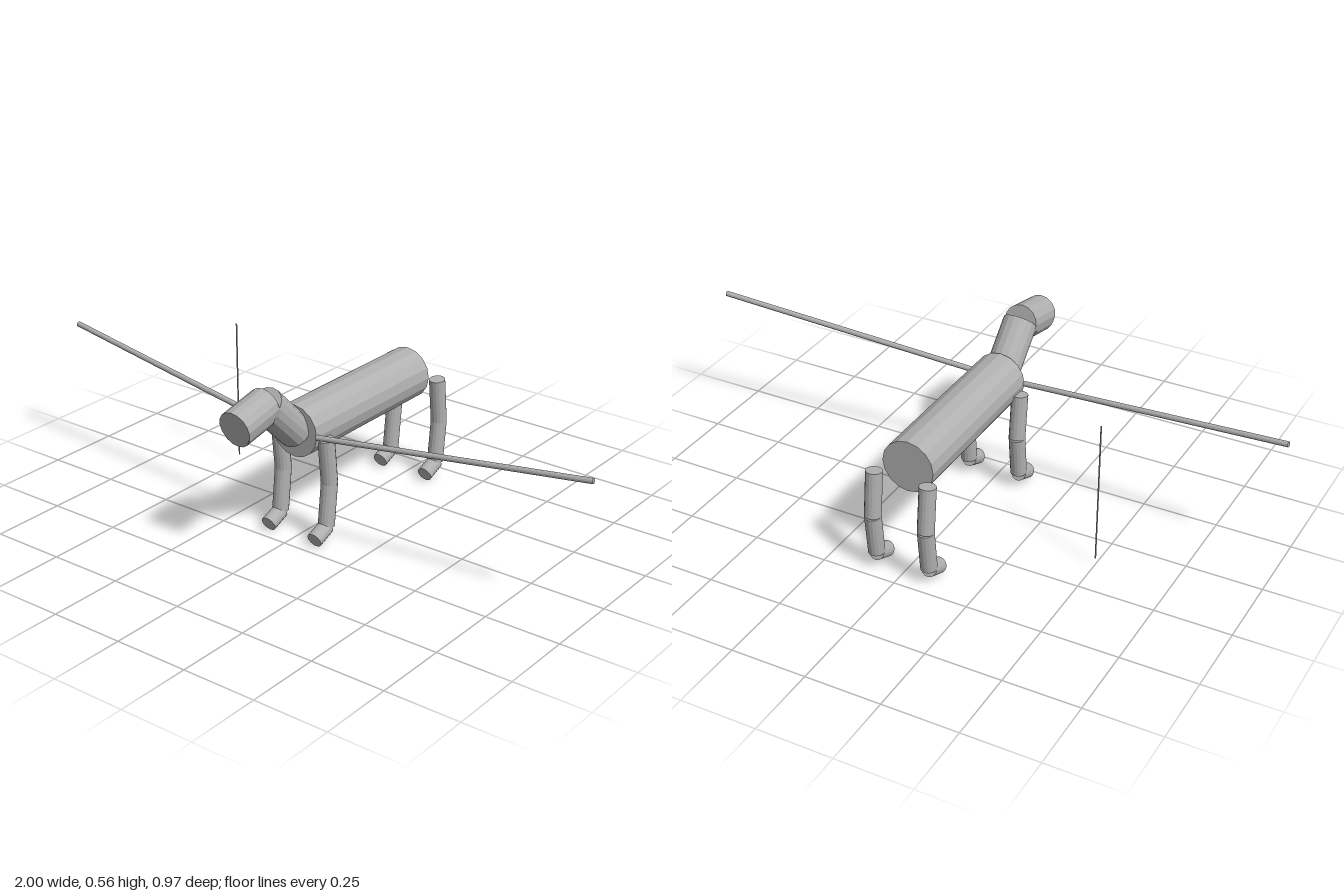
import * as THREE from 'three';

const grey = new THREE.MeshStandardMaterial({ color: 0xb0b0b0, flatShading: true });
grey.name = 'plain grey';

// Capped cylinder running between two points
function rod(name, from, to, radius, sides = 16) {
  const a = new THREE.Vector3(...from);
  const b = new THREE.Vector3(...to);
  const dir = b.clone().sub(a);
  const mesh = new THREE.Mesh(new THREE.CylinderGeometry(radius, radius, dir.length(), sides), grey);
  mesh.position.copy(a).add(b).multiplyScalar(0.5);
  mesh.quaternion.setFromUnitVectors(new THREE.Vector3(0, 1, 0), dir.normalize());
  mesh.name = name;
  return mesh;
}

// Bent three-segment leg, shifted along z for the hind pair
function makeLeg(name, x, z) {
  const leg = new THREE.Group();
  leg.name = name;
  leg.add(
    rod('upperLeg', [0, 0.352, 0.154], [0, 0.198, 0.138], 0.027),
    rod('lowerLeg', [0, 0.198, 0.138], [0, 0.057, 0.154], 0.027),
    rod('foot', [0, 0.052, 0.154], [0, 0.027, 0.215], 0.026),
  );
  leg.position.set(x, 0, z);
  return leg;
}

export function createModel() {
  const model = new THREE.Group();
  model.name = 'wingedAnimal';

  // Trunk, neck and head
  model.add(
    rod('body', [0, 0.369, -0.402], [0, 0.369, 0.195], 0.087),
    rod('neck', [0, 0.369, 0.193], [0, 0.506, 0.333], 0.056),
    rod('head', [0, 0.505, 0.333], [0, 0.474, 0.475], 0.057),
    rod('jaw', [0, 0.49, 0.355], [0, 0.466, 0.471], 0.055),
  );

  // Legs and wing spars on both sides
  for (const s of [-1, 1]) {
    const side = s > 0 ? 'left' : 'right';
    model.add(
      makeLeg(side + 'FrontLeg', s * 0.092, 0),
      makeLeg(side + 'HindLeg', s * 0.092, -0.598),
      rod(side + 'WingSpar', [s * 0.087, 0.369, 0.194], [s * 0.999, 0.461, 0.112], 0.009, 12),
    );
  }

  // Thin upright pole beside the body
  model.add(rod('pole', [-0.5, 0.028, -0.125], [-0.5, 0.507, -0.125], 0.0025, 8));

  return model;
}
